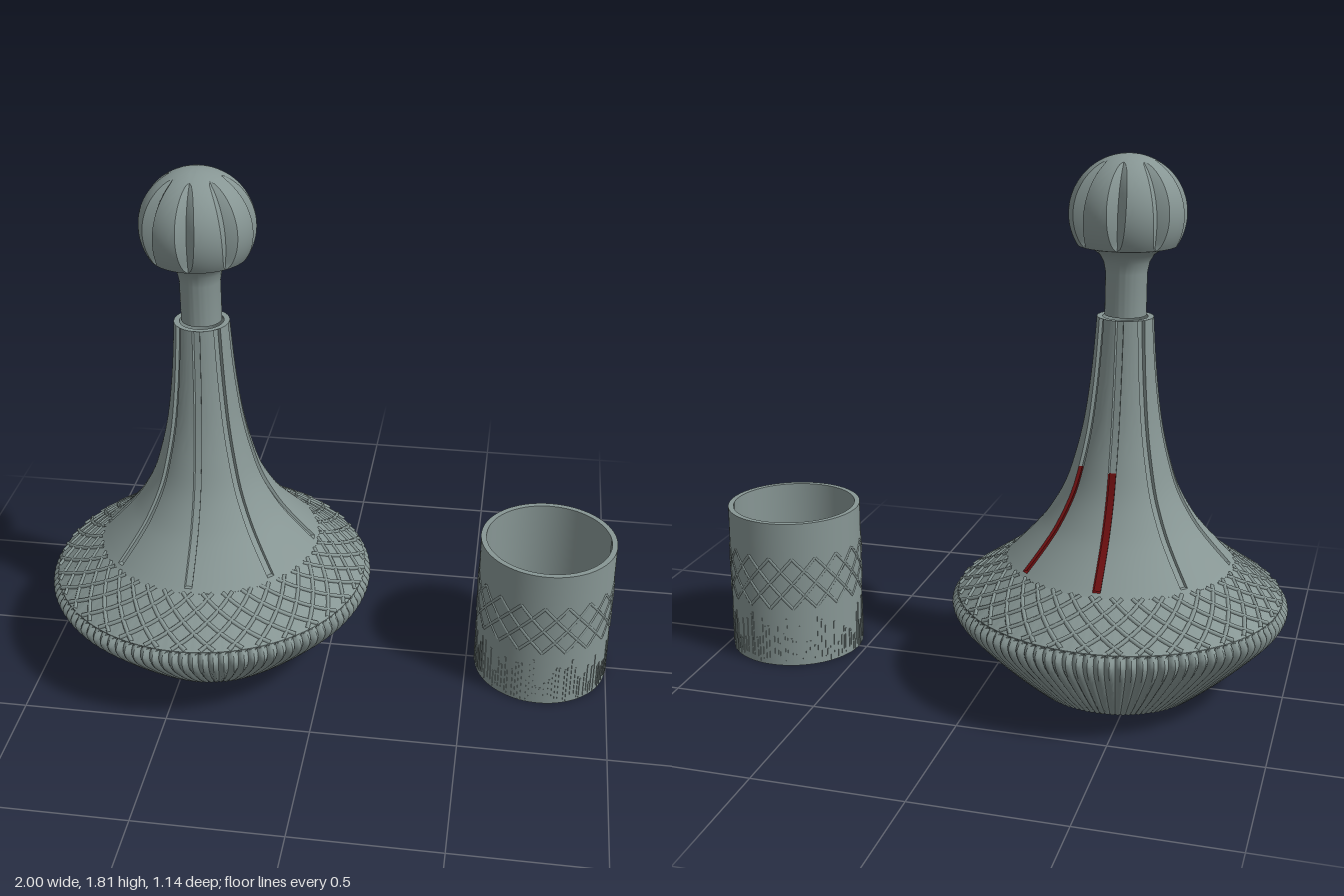
import * as THREE from 'three';
import { mergeGeometries, toCreasedNormals } from 'three/addons/utils/BufferGeometryUtils.js';

const TAU = Math.PI * 2;
const glass = new THREE.MeshStandardMaterial({ color: 0x879694 });
glass.name = 'greyGlass';
const red = new THREE.MeshStandardMaterial({ color: 0x6e0f10 });
red.name = 'darkRed';

// Skin a profile ([r, y], outside running upwards) around y.
// shape(r, y, j) gives [radius, angle] for column j; isRed(y, j) picks red faces.
function revolve(profile, cols, shape, isRed = () => false) {
  const pos = [], main = [], tinted = [];
  for (const [r, y] of profile) {
    for (let j = 0; j <= cols; j++) {
      const [rr, a] = shape(r, y, j);
      pos.push(rr * Math.sin(a), y, rr * Math.cos(a));
    }
  }
  for (let i = 0; i < profile.length - 1; i++) {
    for (let j = 0; j < cols; j++) {
      const a = i * (cols + 1) + j, d = a + cols + 1;
      const list = isRed(profile[i][1], j) ? tinted : main;
      if (profile[i][0] > 0) list.push(a, a + 1, d + 1);
      if (profile[i + 1][0] > 0) list.push(a, d + 1, d);
    }
  }
  const g = new THREE.BufferGeometry();
  g.setAttribute('position', new THREE.Float32BufferAttribute(pos, 3));
  g.setIndex([...main, ...tinted]);
  g.addGroup(0, main.length, 0);
  if (tinted.length) g.addGroup(main.length, tinted.length, 1);
  return toCreasedNormals(g, 0.55);
}

const round = (cols) => (r, y, j) => [r, (j / cols) * TAU];

function spline(points, n) {
  const curve = new THREE.SplineCurve(points.map(([r, y]) => new THREE.Vector2(r, y)));
  return curve.getPoints(n).map((p) => [p.x, p.y]);
}

function add(parent, name, geometry, material = glass) {
  const mesh = new THREE.Mesh(geometry, material);
  mesh.name = name;
  parent.add(mesh);
  return mesh;
}

// Criss-crossing cut lines on a cone or cylinder band
function lattice(r0, y0, r1, y1, count, pitches, thickness) {
  const parts = [];
  for (let i = 0; i < count; i++) {
    for (const dir of [-1, 1]) {
      const pts = [];
      for (let k = 0; k <= 6; k++) {
        const t = k / 6;
        const a = ((i + dir * pitches * (t - 0.5)) / count) * TAU;
        const r = r0 + (r1 - r0) * t - thickness * 0.4;
        pts.push(new THREE.Vector3(r * Math.sin(a), y0 + (y1 - y0) * t, r * Math.cos(a)));
      }
      parts.push(new THREE.TubeGeometry(new THREE.CatmullRomCurve3(pts), 10, thickness, 6));
    }
  }
  return mergeGeometries(parts);
}

function makeDecanter() {
  const g = new THREE.Group();
  g.name = 'decanter';

  // Fluted bowl and plain shoulder cone
  const flutes = 104, per = 6;
  const bowl = [[0, 0], ...spline([[0.29, 0], [0.36, 0.06], [0.43, 0.125], [0.5, 0.195],
    [0.55, 0.25], [0.57, 0.288], [0.567, 0.31], [0.55, 0.33]], 16), [0.55, 0.332], [0.385, 0.45]];
  add(g, 'flutedBowl', revolve(bowl, flutes * per, (r, y, j) => {
    const valley = 1 - Math.abs(Math.sin((j / per) * Math.PI));
    return [y < 0.33 ? r * (1 - 0.028 * valley) : r, (j / (flutes * per)) * TAU];
  }));
  add(g, 'shoulderLattice', lattice(0.55, 0.335, 0.385, 0.45, 36, 2.5, 0.0075));

  // Neck with eight long grooves, two of them partly red
  const N = 12;
  const neck = [[0.385, 0.45], [0.373, 0.462], ...spline([[0.372, 0.463], [0.3, 0.54],
    [0.245, 0.61], [0.19, 0.71], [0.155, 0.82], [0.13, 0.93], [0.113, 1.05],
    [0.102, 1.16], [0.093, 1.285]], 32)];
  const neckShape = (r, y, j) => {
    const s = Math.floor(j / N), k = j % N, w = 0.013 / r, step = TAU / 8;
    const offset = k < 4 ? [-w, -0.85 * w, 0.85 * w, w][k] : w + ((step - 2 * w) * (k - 3)) / (N - 3);
    const cut = (k === 1 || k === 2) && y > 0.4625 ? 0.012 : 0;
    return [r - cut, s * step + offset];
  };
  const redGroove = (y, j) => {
    const s = Math.floor(j / N);
    return (s === 3 || s === 4) && j % N < 3 && y > 0.455 && y < 0.78;
  };
  add(g, 'groovedNeck', revolve(neck, 8 * N, neckShape, redGroove), [glass, red]);

  // Rim and hollow inside
  const inside = [[0.093, 1.285], [0.074, 1.285], [0.078, 1.16], [0.092, 1.05], [0.108, 0.93],
    [0.132, 0.82], [0.166, 0.71], [0.218, 0.61], [0.34, 0.45], [0.5, 0.31], [0.5, 0.26], [0.27, 0.05], [0, 0.05]];
  add(g, 'rimAndInside', revolve(inside, 64, round(64)));
  return g;
}

function makeStopper() {
  const g = new THREE.Group();
  g.name = 'stopper';
  const stem = [[0, 1.29], [0.068, 1.29], [0.068, 1.43], [0.075, 1.465], [0.09, 1.49],
    [0.115, 1.508], [0.16, 1.519]];
  add(g, 'stopperStem', revolve(stem, 64, round(64)));

  // Ball with eight lens-shaped cuts
  const R = 0.19, cy = 1.62, N = 13, ball = [];
  for (let i = 0; i <= 32; i++) {
    const a = -0.56 + (Math.PI / 2 + 0.56) * (i / 32);
    ball.push([i === 32 ? 0 : R * Math.cos(a), cy + R * Math.sin(a)]);
  }
  add(g, 'stopperBall', revolve(ball, 8 * N, (r, y, j) => {
    const s = Math.floor(j / N), k = j % N, step = TAU / 8;
    const lens = Math.sqrt(Math.max(0, 1 - ((y - 1.655) / 0.135) ** 2));
    const w = r > 0 ? Math.min(0.36, (0.031 * lens) / r) : 0;
    const offset = k < 5 ? w * (k / 2 - 1) : w + ((step - 2 * w) * (k - 4)) / (N - 4);
    const depth = k < 5 ? 0.028 * lens * (1 - Math.abs(k / 2 - 1)) : 0;
    return [r - depth, s * step + offset];
  }));
  return g;
}

function makeCup() {
  const g = new THREE.Group();
  g.name = 'cup';
  const R = 0.235;
  const profile = [[0, 0], [R, 0], [R, 0.53], [0.216, 0.53], [0.216, 0.07], [0.2, 0.045], [0.17, 0.035], [0, 0.035]];
  add(g, 'cupWall', revolve(profile, 96, round(96)));
  add(g, 'cupLattice', lattice(R, 0.215, R, 0.4, 18, 2, 0.006));

  // Uneven upright cuts round the foot
  let seed = 7;
  const rand = () => (seed = (seed * 16807) % 2147483647) / 2147483647;
  const bars = [], count = 110;
  for (let i = 0; i < count; i++) {
    const h = 0.04 + 0.13 * rand(), y0 = 0.03 * rand();
    const bar = new THREE.BoxGeometry(0.005, h, 0.008);
    bar.translate(0, y0 + h / 2, R - 0.002);
    bar.rotateY(((i + 0.6 * rand()) / count) * TAU);
    bars.push(bar);
  }
  add(g, 'cupFootCuts', mergeGeometries(bars));
  return g;
}

export function createModel() {
  const model = new THREE.Group();
  model.name = 'decanterSet';
  const decanter = makeDecanter(), stopper = makeStopper(), cup = makeCup();
  decanter.position.x = stopper.position.x = -0.43;
  cup.position.x = 0.765;
  model.add(decanter, stopper, cup);
  return model;
}
